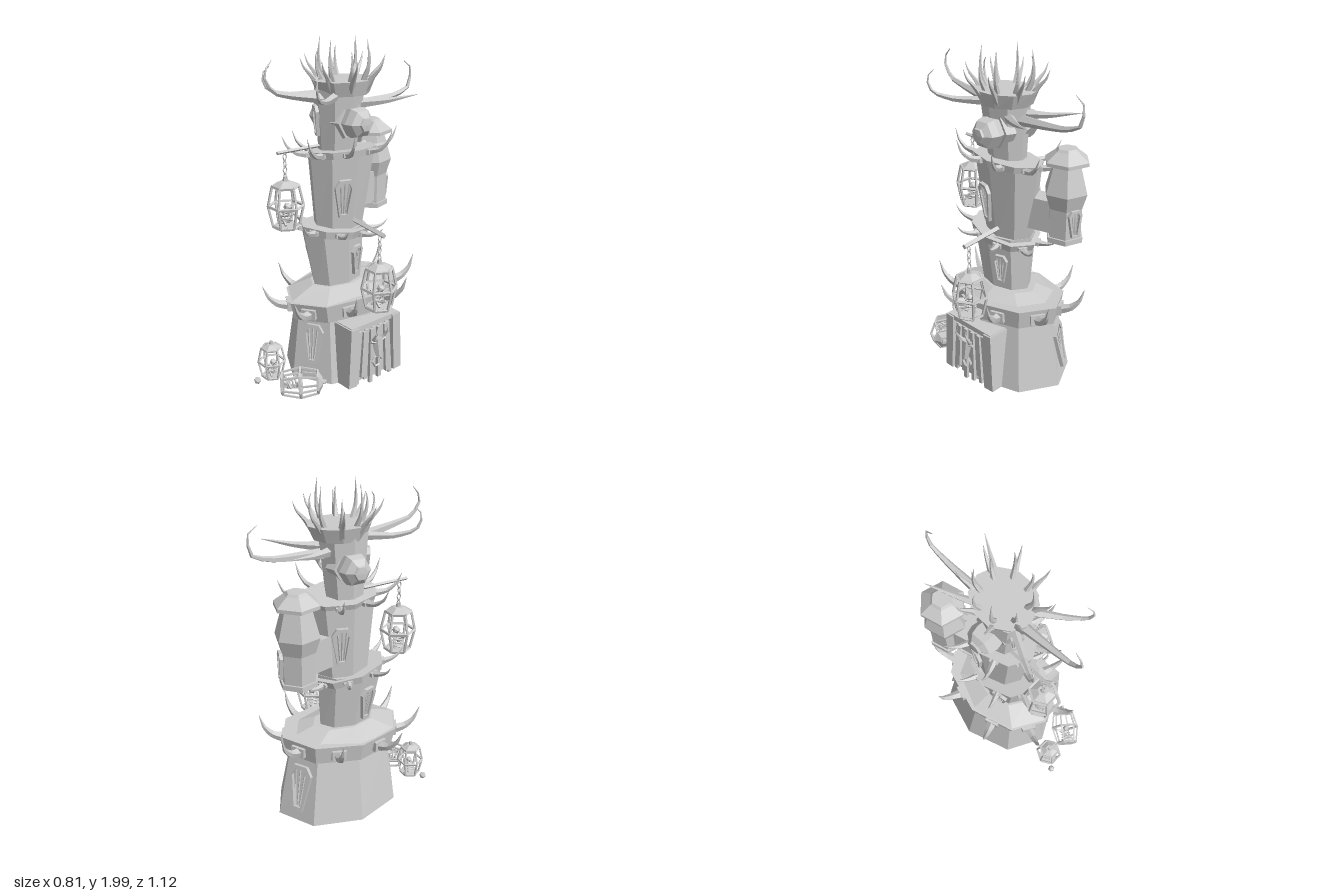
import * as THREE from 'three';

const mat = new THREE.MeshStandardMaterial({ color: 0xcccccc, flatShading: true, side: THREE.DoubleSide });
const V = (x, y, z) => new THREE.Vector3(x, y, z);

function add(parent, name, geo, x = 0, y = 0, z = 0) {
  const m = new THREE.Mesh(geo, mat);
  m.name = name;
  m.position.set(x, y, z);
  parent.add(m);
  return m;
}
function group(parent, name, x = 0, y = 0, z = 0) {
  const g = new THREE.Group();
  g.name = name;
  g.position.set(x, y, z);
  parent.add(g);
  return g;
}
const box = (p, name, w, h, d, x, y, z) => add(p, name, new THREE.BoxGeometry(w, h, d), x, y, z);

// straight bar between two points
function bar(p, name, a, b, r, sides = 4) {
  const m = add(p, name, new THREE.CylinderGeometry(r, r, a.distanceTo(b), sides));
  m.position.copy(a).add(b).multiplyScalar(0.5);
  m.quaternion.setFromUnitVectors(V(0, 1, 0), b.clone().sub(a).normalize());
}

// tapering, angular horn through points
function horn(p, name, pts, r) {
  const curve = new THREE.CatmullRomCurve3(pts, false, 'catmullrom', 0.25), seg = 10, sides = 5;
  const geo = new THREE.TubeGeometry(curve, seg, r, sides);
  const pos = geo.attributes.position, v = V(0, 0, 0);
  for (let i = 0; i < pos.count; i++) {
    const t = Math.floor(i / (sides + 1)) / seg;
    v.fromBufferAttribute(pos, i).lerp(curve.getPointAt(t), t * 0.95);
    pos.setXYZ(i, v.x, v.y, v.z);
  }
  add(p, name, geo);
}
const radial = (yaw, pts, cx = 0, cz = 0) => pts.map(([r, y]) => V(cx + Math.sin(yaw) * r, y, cz + Math.cos(yaw) * r));

// section ends are [cx, y, cz, rx, rz]
const corner = (b, t, k, h, n) => {
  const s = b.map((v, i) => v + (t[i] - v) * h), a = k * 2 * Math.PI / n;
  return V(s[0] + Math.sin(a) * s[3], s[1], s[2] + Math.cos(a) * s[4]);
};
function section(p, name, b, t, n = 8, open = false) {
  const geo = new THREE.CylinderGeometry(1, 1, 1, n, 1, open), pos = geo.attributes.position;
  for (let i = 0; i < pos.count; i++) {
    const s = pos.getY(i) > 0 ? t : b;
    pos.setXYZ(i, s[0] + pos.getX(i) * s[3], s[1], s[2] + pos.getZ(i) * s[4]);
  }
  add(p, name, geo);
}

// coffin-shaped barred window
function windowAt(p, pos, yaw, tilt, h) {
  const g = group(p, 'window', pos.x, pos.y, pos.z);
  g.rotation.set(tilt, yaw, 0, 'YXZ');
  const outline = (s) => [[-0.12, -0.5], [0.12, -0.5], [0.27, 0.32], [0.15, 0.5], [-0.15, 0.5], [-0.27, 0.32]]
    .map(([x, y]) => new THREE.Vector2(x * h * s, y * h * (s + 1) / 2));
  const shape = new THREE.Shape(outline(1));
  shape.holes.push(new THREE.Path(outline(0.65)));
  add(g, 'windowFrame', new THREE.ExtrudeGeometry(shape, { depth: 0.032, bevelEnabled: false }), 0, 0, -0.012);
  for (const s of [-1, 0, 1])
    bar(g, 'windowBar', V(s * 0.05 * h, -0.4 * h, 0.01), V(s * 0.12 * h, 0.42 * h, 0.01), 0.005);
}
function facetWindow(p, b, t, k, at, h) {
  const A = corner(b, t, k, at, 8), B = corner(b, t, k + 1, at, 8), mid = A.clone().add(B).multiplyScalar(0.5);
  const low = corner(b, t, k, 0, 8).add(corner(b, t, k + 1, 0, 8)).multiplyScalar(0.5);
  const e = B.sub(A), yaw = Math.atan2(-e.z, e.x), d = mid.clone().sub(low);
  windowAt(p, mid, yaw, Math.atan2(d.x * Math.sin(yaw) + d.z * Math.cos(yaw), d.y), h);
}

// sloping collar with brackets and horns
function collar(p, name, x, y, z, rx, rz, h, out, up, tiltX, tiltZ) {
  const g = group(p, name, x, y, z);
  g.rotation.set(tiltX, 0, tiltZ);
  section(g, 'collarBand', [0, -h / 2, 0, rx * 0.94, rz * 0.94], [0, h / 2, 0, rx, rz]);
  for (let k = 0; k < 8; k++) {
    const a = (k + 0.5) * Math.PI / 4, s = Math.sin(a), c = Math.cos(a);
    const at = (o, yy) => V(s * (rx * 0.92 + o), yy, c * (rz * 0.92 + o));
    horn(g, 'collarHorn', [at(-0.02, -h * 0.1), at(out * 0.45, up * 0.1), at(out * 0.8, up * 0.45), at(out, up)], h * 0.17 + 0.016);
    const b = box(g, 'hornBracket', h * 0.5 + 0.03, h * 0.55, 0.03, s * rx * 0.92, 0, c * rz * 0.92);
    b.rotation.y = Math.atan2(s * rz, c * rx);
  }
}

// six-sided barrel cage with corners on x, origin at its floor
function cage(p, name, x, y, z, s = 1) {
  const g = group(p, name, x, y, z);
  g.scale.setScalar(s);
  g.rotation.y = Math.PI / 6;
  const levels = [[0.074, 0], [0.1, 0.12], [0.075, 0.235]];
  const pt = ([r, h], i) => V(Math.sin(i * Math.PI / 3) * r, h, Math.cos(i * Math.PI / 3) * r);
  for (let i = 0; i < 6; i++) levels.forEach((l, j) => {
    bar(g, 'cageRing', pt(l, i), pt(l, i + 1), 0.009);
    if (j < 2) bar(g, 'cageBar', pt(l, i), pt(levels[j + 1], i), 0.008);
  });
  add(g, 'cageFloor', new THREE.CylinderGeometry(0.07, 0.06, 0.016, 6));
  add(g, 'cageLid', new THREE.CylinderGeometry(0.03, 0.08, 0.03, 6), 0, 0.25, 0);
  add(g, 'cageKnob', new THREE.CylinderGeometry(0.012, 0.016, 0.03, 6), 0, 0.275, 0);
  // bones inside
  for (let i = 0; i < 4; i++) {
    const rib = add(g, 'rib', new THREE.TorusGeometry(0.036 - i * 0.003, 0.006, 4, 8, 5), 0, 0.03 + i * 0.02, 0);
    rib.rotation.set(Math.PI / 2, 0.25, i * 0.5);
  }
  bar(g, 'spine', V(0, 0.01, -0.03), V(0.01, 0.1, -0.02), 0.008);
  bar(g, 'legBone', V(-0.04, 0.02, 0.02), V(0.05, 0.06, 0.04), 0.008);
  bar(g, 'armBone', V(-0.05, 0.09, -0.01), V(0.02, 0.02, 0.05), 0.008);
  add(g, 'skull', new THREE.IcosahedronGeometry(0.025, 0), 0.01, 0.115, 0);
  return g;
}
function chain(p, x, y0, y1, z) {
  const n = 4, step = (y1 - y0) / n;
  for (let i = 0; i < n; i++) {
    const l = add(p, 'chainLink', new THREE.TorusGeometry(0.012, 0.004, 4, 6), x, y0 + (i + 0.5) * step, z);
    l.scale.y = 1.5;
    l.rotation.y = i % 2 * Math.PI / 2;
  }
}

export function createModel() {
  const root = new THREE.Group();
  root.name = 'hornedTower';

  // stacked, flaring tower sections
  const base = [[-0.02, 0.04, -0.045, 0.31, 0.4], [-0.02, 0.44, -0.03, 0.235, 0.335]];
  const lower = [[-0.03, 0.52, 0, 0.105, 0.16], [-0.04, 0.92, 0.03, 0.15, 0.21]];
  const middle = [[-0.04, 0.88, -0.015, 0.115, 0.155], [-0.02, 1.36, -0.02, 0.155, 0.22]];
  const upper = [[-0.03, 1.34, 0, 0.1, 0.11], [-0.01, 1.73, 0, 0.13, 0.15]];
  section(root, 'base', ...base, 8, true);
  section(root, 'baseRoof', [-0.02, 0.53, -0.025, 0.26, 0.375], [-0.03, 0.585, -0.01, 0.13, 0.2]);
  section(root, 'lowerTower', ...lower);
  section(root, 'middleTower', ...middle);
  section(root, 'upperTower', ...upper);
  collar(root, 'baseCollar', -0.02, 0.485, -0.025, 0.27, 0.385, 0.11, 0.15, 0.14, 0.05, 0.02);
  collar(root, 'lowerCollar', -0.035, 0.905, 0.02, 0.175, 0.235, 0.045, 0.13, 0.06, -0.15, -0.03);
  collar(root, 'middleCollar', -0.015, 1.365, -0.02, 0.17, 0.23, 0.04, 0.145, 0.115, -0.03, 0.1);

  // windows on chosen facets
  for (const [s, k, at, h] of [[base, 0, 0.58, 0.24], [base, 4, 0.52, 0.29], [lower, 2, 0.5, 0.18],
    [lower, 6, 0.5, 0.21], [middle, 1, 0.5, 0.23], [middle, 5, 0.5, 0.22], [upper, 7, 0.55, 0.17]])
    facetWindow(root, ...s, k, at, h);

  // crown with two rings of spikes and long curling horns
  section(root, 'crown', [0, 1.7, -0.02, 0.14, 0.15], [0, 1.78, -0.02, 0.165, 0.185], 10);
  for (let i = 0; i < 8; i++) {
    const yaw = (i + 0.5) * Math.PI / 4;
    horn(root, 'crownSpike', radial(yaw, [[0.13, 1.73], [0.18, 1.8], [0.225, 1.85], [0.245, 1.9]], 0, -0.02), 0.022);
    horn(root, 'tallCrownSpike', radial(yaw, [[0.12, 1.77], [0.15, 1.84], [0.155, 1.91], [0.145, i % 2 ? 1.94 : 2]], 0, -0.02), 0.017);
  }
  horn(root, 'frontCrownHorn', radial(0, [[0.1, 1.68], [0.32, 1.72], [0.45, 1.755], [0.505, 1.85], [0.45, 1.92]], -0.01), 0.032);
  horn(root, 'backCrownHorn', radial(Math.PI, [[0.1, 1.62], [0.4, 1.635], [0.53, 1.67], [0.56, 1.78], [0.5, 1.83]], -0.01), 0.034);
  for (const yaw of [0.59, -0.5])
    horn(root, 'frontSideHorn', radial(yaw, [[0.1, 1.7], [0.28, 1.7], [0.4, 1.73], [0.435, 1.81], [0.39, 1.86]]), 0.027);
  for (const yaw of [2.6, -2.7])
    horn(root, 'backSideHorn', radial(yaw, [[0.1, 1.64], [0.26, 1.65], [0.38, 1.67], [0.44, 1.68]]), 0.03);

  // six-sided round bosses on both flanks
  for (const s of [-1, 1]) {
    const prof = [[0.12, 0.04], [0.1, 0.1], [0.085, 0.1], [0.092, 0.14], [0.08, 0.185], [0.045, 0.21], [0.04, 0.222], [0, 0.225]];
    const orb = add(root, 'flankBoss', new THREE.LatheGeometry(prof.map(([r, y]) => new THREE.Vector2(r, y)), 6), -0.01, 1.555, -0.01);
    orb.rotation.z = -s * Math.PI / 2;
  }

  // hanging back turret and its link to the tower
  const turret = group(root, 'turret', -0.135, 0, -0.35), turn = 0.25;
  const prof = [[0, 0.95], [0.112, 0.95], [0.112, 0.98], [0.1, 0.98], [0.102, 1.15], [0.13, 1.24], [0.085, 1.4], [0.132, 1.405], [0.132, 1.425], [0.068, 1.475], [0.055, 1.49], [0, 1.49]];
  add(turret, 'turretBody', new THREE.LatheGeometry(prof.map(([r, y]) => new THREE.Vector2(r, y)), 6)).rotation.y = turn;
  const face = turn + Math.PI * 5 / 6;
  windowAt(turret, V(Math.sin(face) * 0.088, 1.075, Math.cos(face) * 0.088), face, 0, 0.16);
  box(root, 'turretLink', 0.12, 0.19, 0.24, -0.09, 1.09, -0.23).rotation.y = turn;

  // doorway on the left flank
  const door = group(root, 'doorway', 0, 0, -0.01);
  for (const s of [-1, 1]) box(door, 'doorPost', 0.2, 0.37, 0.06, 0.21, 0.225, s * 0.17).rotation.x = -s * 0.05;
  box(door, 'doorRoof', 0.19, 0.03, 0.36, 0.205, 0.4, 0);
  box(door, 'doorBack', 0.015, 0.36, 0.3, 0.265, 0.22, 0);
  for (let i = 0; i < 9; i++) {
    const cut = (i * 7 % 5) * 0.014;
    const plank = box(door, 'doorPlank', 0.02, 0.35 - cut, 0.024, 0.285 + (i % 2) * 0.012, 0.195 + cut / 2, (i - 4) * 0.03);
    plank.rotation.x = (i - 4) * -0.02;
  }

  // horned beast skull with knocker ring
  const skull = group(root, 'beastSkull', 0.315, 0.26, -0.01);
  add(skull, 'skullHead', new THREE.CylinderGeometry(0.037, 0.016, 0.12, 6), 0.008, -0.01, 0).rotation.z = 0.2;
  add(skull, 'knockerRing', new THREE.TorusGeometry(0.035, 0.008, 4, 6), 0.005, -0.1, 0).rotation.y = Math.PI / 2;
  for (const s of [-1, 1]) {
    horn(skull, 'skullHorn', [V(0, 0.03, s * 0.02), V(0.02, 0.06, s * 0.04), V(0.045, 0.1, s * 0.045), V(0.045, 0.15, s * 0.03)], 0.014);
    bar(skull, 'skullEar', V(0.01, 0.03, s * 0.02), V(0.01, 0.04, s * 0.055), 0.01);
  }

  // two hanging cages on beams
  bar(root, 'frontBeam', V(-0.07, 1.405, 0.1), V(-0.07, 1.41, 0.39), 0.01);
  chain(root, -0.07, 1.25, 1.4, 0.34);
  cage(root, 'frontHangingCage', -0.07, 0.98, 0.34);
  bar(root, 'sideBeam', V(0.02, 0.98, -0.03), V(0.34, 0.945, -0.03), 0.016);
  chain(root, 0.305, 0.79, 0.94, -0.03);
  cage(root, 'sideHangingCage', 0.305, 0.5, -0.03, 1.02);

  // cages left on the ground, one tipped over
  cage(root, 'standingCage', -0.08, 0.065, 0.465, 0.78);
  const fallen = cage(root, 'fallenCage', 0.07, 0.09, 0.5, 0.88);
  fallen.quaternion.setFromUnitVectors(V(0, 1, 0), V(0.62, 0.05, -0.74).normalize());
  add(root, 'looseSkull', new THREE.IcosahedronGeometry(0.022, 0), -0.125, 0.035, 0.54);
  return root;
}
